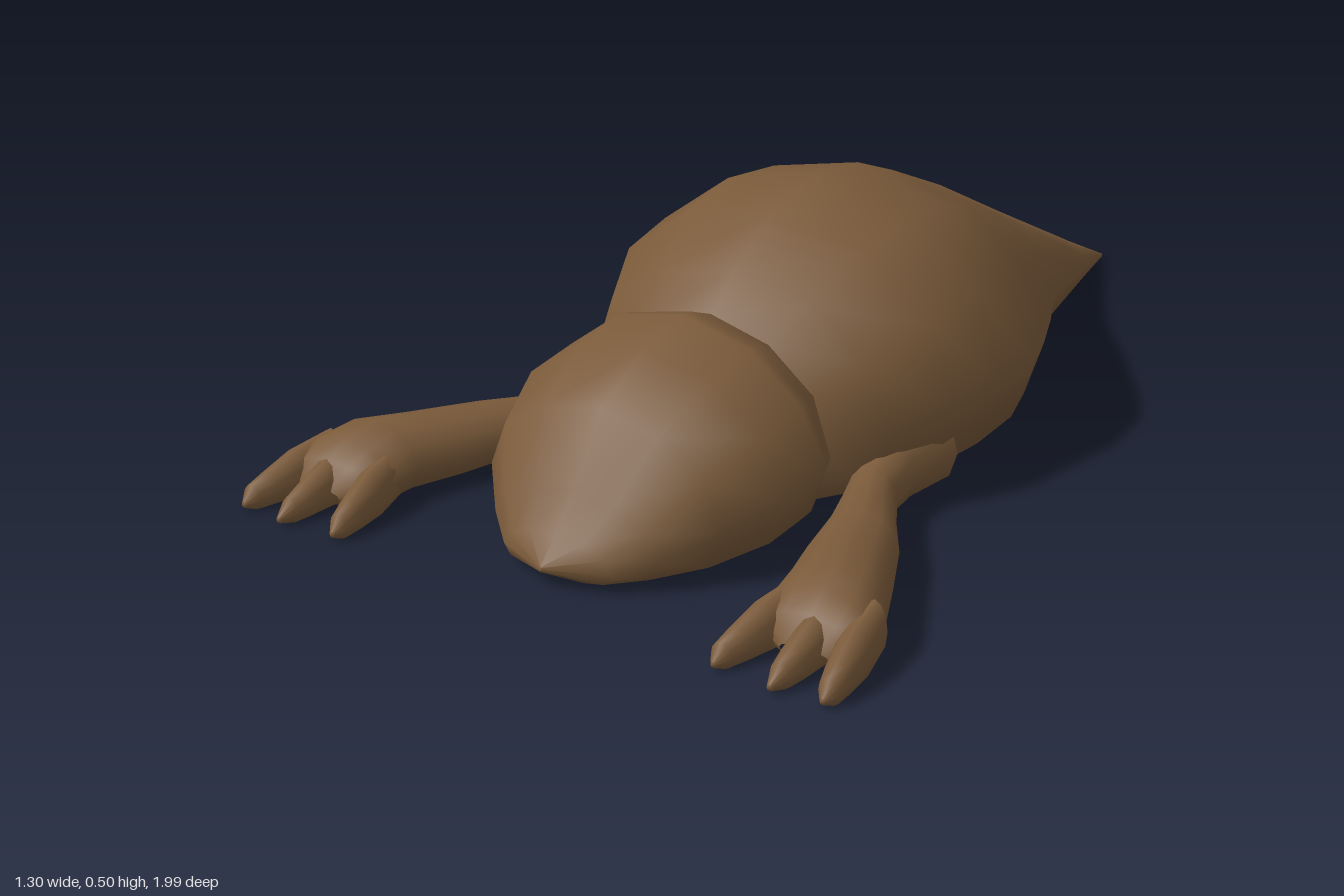
import * as THREE from 'three';

// Right half of a unit cross-section, from top centre to bottom centre
const DOME = [[0, 1], [0.49, 0.91], [0.86, 0.69], [1, 0.37], [0.88, 0.11], [0.52, 0], [0, 0]];
const OVAL = [[0, 1], [0.5, 0.92], [0.87, 0.72], [1, 0.42], [0.83, 0.12], [0.45, 0], [0, 0]];

// Skin through sections [z, centre x, half width, bottom y, top y], z increasing
function loft(half, sections) {
  const left = half.slice(1, -1).reverse().map(([x, y]) => [-x, y]);
  const ring = [...half, ...left];
  const n = ring.length;
  const pos = [], idx = [];
  for (const [z, cx, w, y0, y1] of sections) {
    for (const [x, y] of ring) pos.push(cx + x * w, y0 + y * (y1 - y0), z);
  }
  for (let i = 0; i < sections.length - 1; i++) {
    for (let j = 0; j < n; j++) {
      const a = i * n + j, b = i * n + (j + 1) % n;
      idx.push(a, a + n, b, b, a + n, b + n);
    }
  }
  const g = new THREE.BufferGeometry();
  g.setAttribute('position', new THREE.Float32BufferAttribute(pos, 3));
  g.setIndex(idx);
  g.computeVertexNormals();
  return g;
}

export function createModel() {
  const model = new THREE.Group();
  const brown = new THREE.MeshStandardMaterial({ color: 0x7a5a3a });
  brown.name = 'brown';
  const add = (name, half, sections, parent = model) => {
    const mesh = new THREE.Mesh(loft(half, sections), brown);
    mesh.name = name;
    parent.add(mesh);
  };

  // Domed body tapering to a pointed tail
  add('body', DOME, [
    [-0.995, 0, 0.001, 0, 0.006],
    [-0.85, 0, 0.045, 0, 0.08],
    [-0.55, 0, 0.14, 0, 0.24],
    [-0.33, 0, 0.26, 0, 0.36],
    [-0.16, 0, 0.345, 0, 0.44],
    [-0.04, 0, 0.395, 0, 0.49],
    [0.1, 0, 0.41, 0, 0.505],
    [0.23, 0, 0.395, 0, 0.477],
    [0.35, 0, 0.335, 0, 0.4],
    [0.43, 0, 0.26, 0, 0.335],
    [0.46, 0, 0.2, 0.02, 0.25],
    [0.47, 0, 0, 0.12, 0.13],
  ]);

  // Rounded head with a low muzzle
  add('head', DOME, [
    [0.38, 0, 0.2, 0, 0.3],
    [0.42, 0, 0.255, 0, 0.335],
    [0.48, 0, 0.288, 0, 0.36],
    [0.51, 0, 0.293, 0, 0.365],
    [0.62, 0, 0.3, 0, 0.337],
    [0.74, 0, 0.255, 0, 0.27],
    [0.82, 0, 0.18, 0.005, 0.15],
    [0.875, 0, 0.115, 0.01, 0.085],
    [0.915, 0, 0, 0.03, 0.04],
  ]);

  // Flat arms reaching forward, each with three fingers
  for (const s of [1, -1]) {
    const arm = new THREE.Group();
    arm.name = s > 0 ? 'leftArm' : 'rightArm';
    model.add(arm);
    add('forearm', OVAL, [
      [0.2, s * 0.28, 0.1, 0.01, 0.17],
      [0.31, s * 0.295, 0.068, 0.015, 0.13],
      [0.38, s * 0.318, 0.05, 0.015, 0.105],
      [0.46, s * 0.36, 0.06, 0.012, 0.105],
      [0.55, s * 0.41, 0.075, 0.01, 0.112],
      [0.68, s * 0.465, 0.092, 0.005, 0.122],
      [0.77, s * 0.505, 0.1, 0.003, 0.131],
      [0.83, s * 0.52, 0.11, 0.001, 0.113],
      [0.87, s * 0.525, 0.1, 0.002, 0.085],
      [0.895, s * 0.53, 0.05, 0.015, 0.04],
    ], arm);
    for (const [name, x0, x1, tip] of [
      ['innerFinger', 0.445, 0.415, 0.985],
      ['middleFinger', 0.53, 0.533, 0.995],
      ['outerFinger', 0.595, 0.628, 0.985],
    ]) {
      const x = (t) => s * (x0 + (x1 - x0) * t);
      add(name, OVAL, [
        [0.79, x(0), 0.025, 0.01, 0.1],
        [0.87, x(0.4), 0.034, 0, 0.085],
        [0.93, x(0.75), 0.028, 0, 0.06],
        [0.965, x(0.95), 0.021, 0, 0.046],
        [tip, x(1), 0.006, 0.008, 0.02],
        [tip, x(1), 0, 0.014, 0.014],
      ], arm);
    }
  }
  return model;
}
